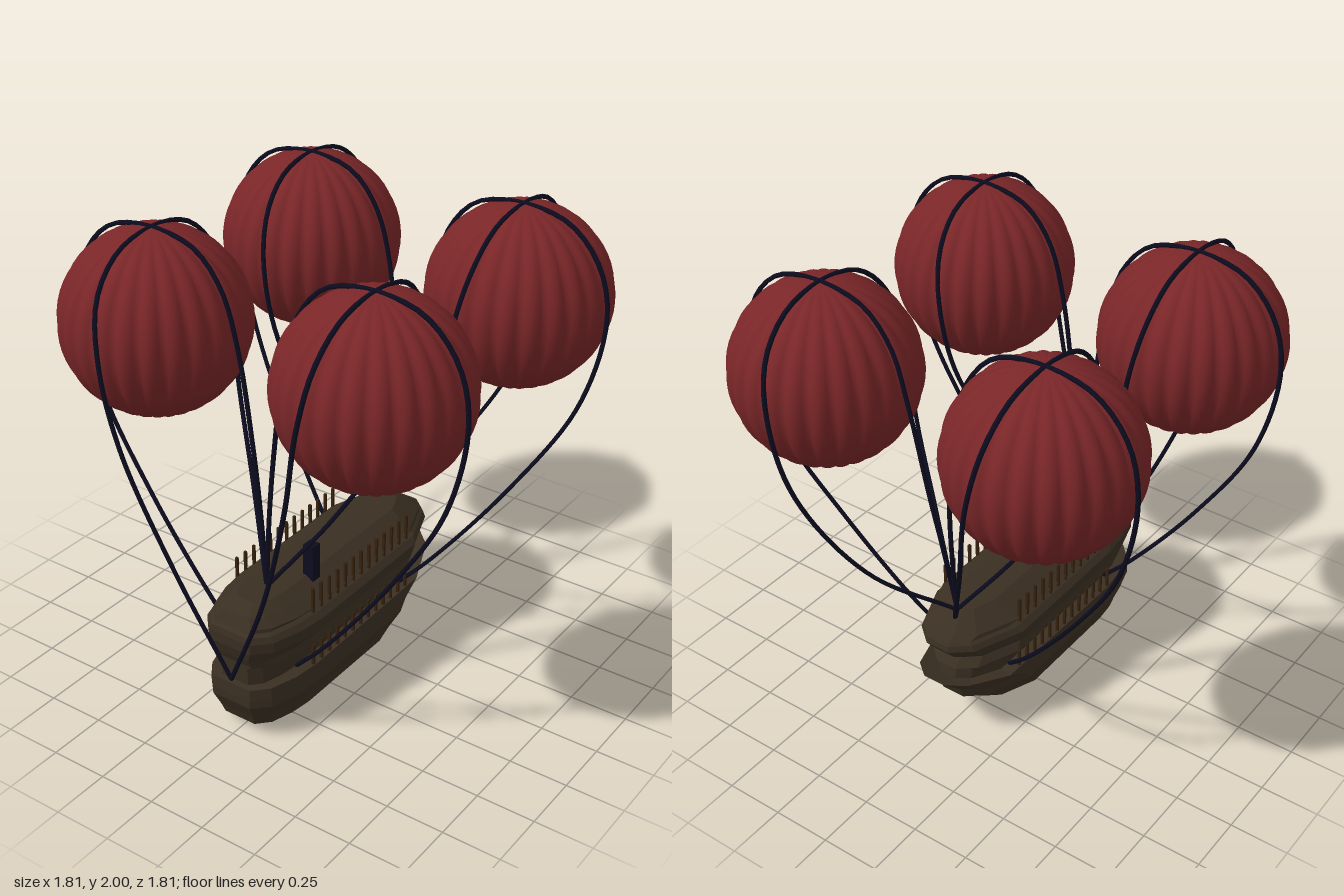
import * as THREE from 'three';

const mat = (name, color, extra = {}) => {
  const m = new THREE.MeshStandardMaterial({ color, ...extra });
  m.name = name;
  return m;
};

// Hull outline at one height: w half width, zf bow, zb stern, rise lifts the stern
function hullRing([y, w, zf, zb, rise = 0]) {
  const k = w / 0.22;
  const side = [
    [0.45 * w, zf], [0.75 * w, zf - 0.07 * k], [0.93 * w, zf - 0.2 * k], [w, zf - 0.33 * k],
    [w, zb + 0.28 * k], [0.62 * w, zb + 0.07 * k], [0.25 * w, zb],
  ];
  const lift = z => y + rise * Math.min(1, Math.max(0, (-0.22 - z) / 0.32));
  const right = side.map(([x, z]) => [x, lift(z), z]);
  const left = side.slice().reverse().map(([x, z]) => [-x, lift(z), z]);
  return [...right, ...left];
}

// Skin stacked rings and close both ends
function loft(rings) {
  const n = rings[0].length, pos = rings.flat(2), index = [];
  for (let r = 0; r < rings.length - 1; r++) {
    for (let i = 0; i < n; i++) {
      const a = r * n + i, b = r * n + (i + 1) % n;
      index.push(a, b, b + n, a, b + n, a + n);
    }
  }
  const top = (rings.length - 1) * n;
  for (let i = 1; i < n - 1; i++) {
    index.push(0, i + 1, i);
    index.push(top, top + i, top + i + 1);
  }
  const g = new THREE.BufferGeometry();
  g.setAttribute('position', new THREE.Float32BufferAttribute(pos, 3));
  g.setIndex(index);
  const flat = g.toNonIndexed();
  flat.computeVertexNormals();
  return flat;
}

// Sphere pinched into rounded gores
function goreSphere(radius, gores) {
  const g = new THREE.SphereGeometry(radius, gores * 6, 28);
  const p = g.attributes.position, uv = g.attributes.uv;
  for (let i = 0; i < p.count; i++) {
    const f = 0.945 + 0.055 * Math.abs(Math.sin(uv.getX(i) * Math.PI * gores));
    p.setX(i, p.getX(i) * f);
    p.setZ(i, p.getZ(i) * f);
  }
  g.computeVertexNormals();
  return g;
}

function rope(points) {
  const curve = new THREE.CatmullRomCurve3(points.map(p => new THREE.Vector3(...p)));
  return new THREE.TubeGeometry(curve, 72, 0.0095, 6);
}

export function createModel() {
  const model = new THREE.Group();
  model.name = 'balloonShip';
  const wood = mat('dark wood', 0x3a2f22, { flatShading: true });
  const postWood = mat('post brown', 0x38220e);
  const cloth = mat('red cloth', 0x7a2628);
  const navy = mat('navy rope', 0x0c0c20);
  const add = (name, geometry, material, x = 0, y = 0, z = 0) => {
    const m = new THREE.Mesh(geometry, material);
    m.name = name;
    m.position.set(x, y, z);
    model.add(m);
    return m;
  };

  // Hull: lower body, recessed gallery and upper body in one skin
  const levels = [
    [0.00, 0.10, 0.54, -0.20], [0.05, 0.165, 0.70, -0.27], [0.10, 0.18, 0.72, -0.33],
    [0.165, 0.207, 0.75, -0.42], [0.20, 0.205, 0.75, -0.44, 0.03], [0.25, 0.20, 0.745, -0.545, 0.07],
    [0.252, 0.14, 0.72, -0.45, 0.04], [0.33, 0.14, 0.72, -0.44],
    [0.345, 0.19, 0.72, -0.46], [0.38, 0.18, 0.735, -0.42], [0.43, 0.222, 0.75, -0.48],
    [0.475, 0.222, 0.75, -0.515], [0.50, 0.20, 0.745, -0.51], [0.51, 0.18, 0.73, -0.50],
    [0.525, 0.195, 0.72, -0.47], [0.56, 0.14, 0.70, -0.42], [0.592, 0.09, 0.64, -0.37],
  ];
  add('hull', loft(levels.map(hullRing)), wood);

  // Railing posts on the upper deck and in the gallery
  const upperPost = new THREE.BoxGeometry(0.011, 0.115, 0.011);
  const lowerPost = new THREE.BoxGeometry(0.011, 0.1, 0.011);
  for (const s of [-1, 1]) {
    for (let i = 0; i < 13; i++) {
      const z = 0.455 - i * 0.0555;
      add('deckPost', upperPost, postWood, s * 0.19, 0.56, z);
      add('galleryPost', lowerPost, postWood, s * 0.19, 0.295, z);
    }
  }

  add('chimney', new THREE.BoxGeometry(0.048, 0.19, 0.048), navy, 0.1, 0.635, 0.34);

  const balloon = goreSphere(0.378, 24);
  for (const s of [-1, 1]) {
    for (const front of [true, false]) {
      const c = front ? 0.505 : -0.505;
      add('balloon', balloon, cloth, s * 0.505, 1.612, c);

      // Sideways rope over the crown, tied to the hull side and the deck centre
      const zSide = front ? 0.505 : -0.22, zDeck = front ? 0.505 : -0.38;
      const mix = (a, t) => a + (c - a) * t;
      add('crossRope', rope([
        [0.14, 0.25, zSide], [0.28, 0.40, mix(zSide, 0.2)], [0.58, 0.80, mix(zSide, 0.55)],
        [0.82, 1.22, mix(zSide, 0.88)], [0.895, 1.6, c], [0.845, 1.81, c], [0.71, 1.95, c],
        [0.505, 1.99, c], [0.3, 1.95, c], [0.18, 1.82, c], [0.11, 1.6, c],
        [0.05, 1.2, mix(zDeck, 0.75)], [0.02, 0.9, mix(zDeck, 0.4)], [0, 0.585, zDeck],
      ].map(([x, y, z]) => [s * x, y, z])), navy);

      // Lengthwise rope over the crown, tied along the centreline
      const outer = front
        ? [[0, 0.27, 0.745], [0.22, 0.75, 0.81], [0.385, 1.25, 0.882], [0.45, 1.6, 0.895]]
        : [[0, 0.585, -0.38], [0.21, 0.85, -0.66], [0.385, 1.25, -0.85], [0.45, 1.6, -0.895]];
      const inner = front
        ? [[0.45, 1.6, 0.125], [0.385, 1.25, 0.17], [0.2, 0.88, 0.32], [0, 0.58, 0.505]]
        : [[0.45, 1.6, -0.1], [0.385, 1.25, -0.13], [0.21, 0.88, -0.23], [0, 0.585, -0.38]];
      add('lengthRope', rope([
        ...outer,
        [0.485, 1.82, c + (front ? 0.335 : -0.335)], [0.5, 1.95, c + (front ? 0.2 : -0.2)],
        [0.505, 1.99, c],
        [0.5, 1.95, c + (front ? -0.2 : 0.2)], [0.485, 1.82, c + (front ? -0.325 : 0.335)],
        ...inner,
      ].map(([x, y, z]) => [s * x, y, z])), navy);
    }
  }
  return model;
}
